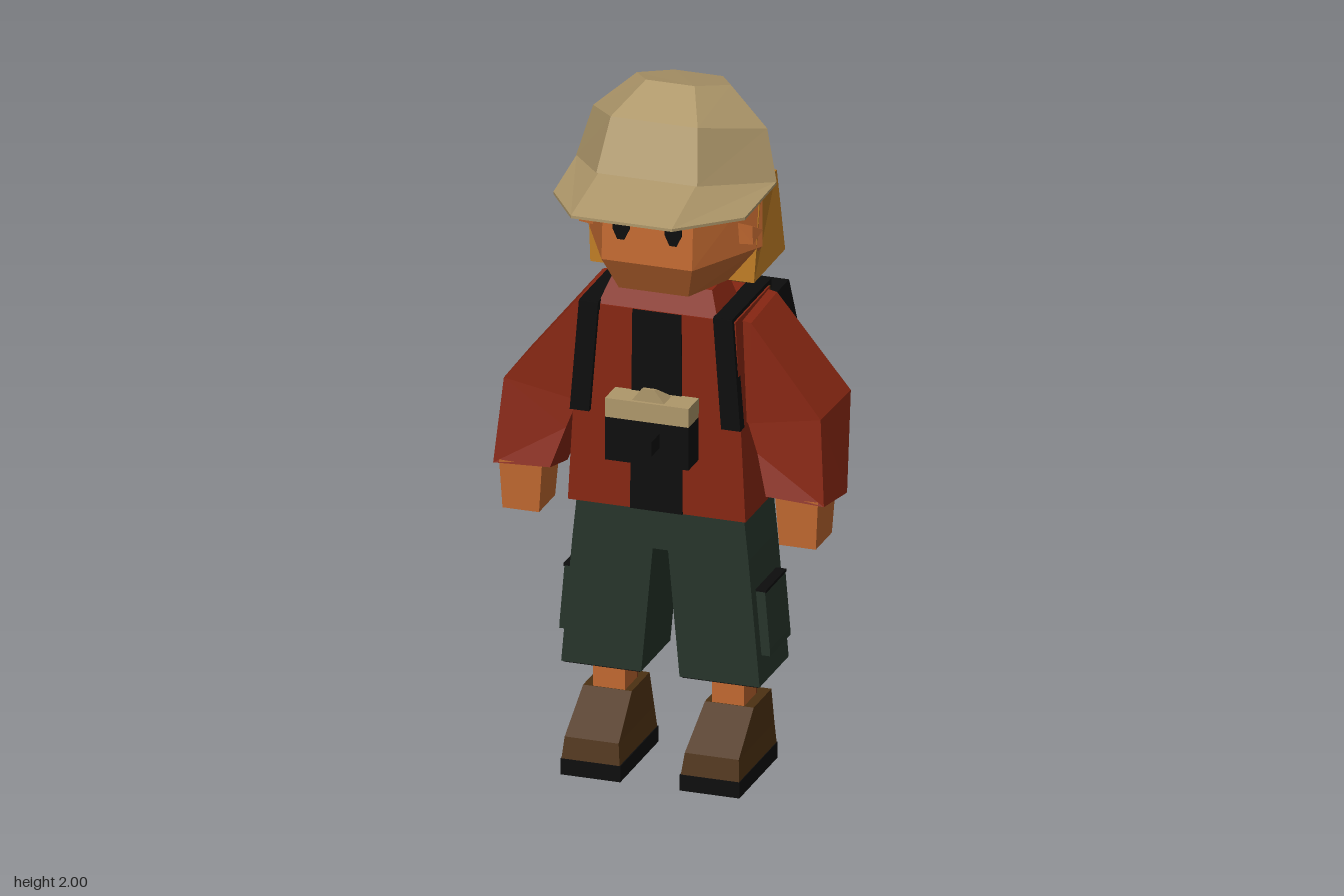
import * as THREE from 'three';

const mat = (name, color) => {
  const m = new THREE.MeshStandardMaterial({ color, flatShading: true });
  m.name = name;
  return m;
};

// Joins matching rings of points into a closed solid, turned outward by its signed volume.
function loft(rings) {
  const tris = [];
  const n = rings[0].length;
  for (let r = 0; r < rings.length - 1; r++) {
    for (let i = 0; i < n; i++) {
      const j = (i + 1) % n;
      const [a, b, c, d] = [rings[r][i], rings[r][j], rings[r + 1][j], rings[r + 1][i]];
      tris.push([a, b, c], [a, c, d]);
    }
  }
  const first = rings[0], last = rings[rings.length - 1];
  for (let i = 1; i < n - 1; i++) {
    tris.push([first[0], first[i + 1], first[i]], [last[0], last[i], last[i + 1]]);
  }
  const v = (p) => new THREE.Vector3(...p);
  let volume = 0;
  for (const [a, b, c] of tris) volume += v(a).dot(v(b).cross(v(c)));
  if (volume < 0) tris.forEach((t) => t.reverse());
  const g = new THREE.BufferGeometry();
  g.setAttribute('position', new THREE.Float32BufferAttribute(tris.flat(2), 3));
  g.computeVertexNormals();
  return g;
}

// Horizontal rectangle ring at height y
const rect = (y, x0, x1, z0, z1) => [[x0, y, z0], [x1, y, z0], [x1, y, z1], [x0, y, z1]];
// Side outline of [z, y] points placed at x
const side = (x, outline) => outline.map(([z, y]) => [x, y, z]);
// Six-sided ring from front, side and back [x, y, z] corners
const hex = (f, s, b) => [f, s, b, [-b[0], b[1], b[2]], [-s[0], s[1], s[2]], [-f[0], f[1], f[2]]];
const flip = (ring, s) => ring.map(([x, y, z]) => [x * s, y, z]);

export function createModel() {
  const model = new THREE.Group();
  const skin = mat('skin', 0xc06830);
  const cream = mat('cream', 0xae976a);
  const hair = mat('hair', 0xbb7a24);
  const red = mat('jacket red', 0x862612);
  const green = mat('trouser green', 0x26342a);
  const brown = mat('boot brown', 0x4c3012);
  const black = mat('black', 0x0d0d0d);

  const add = (name, geometry, material) => {
    const mesh = new THREE.Mesh(geometry, material);
    mesh.name = name;
    model.add(mesh);
    return mesh;
  };
  const box = (name, material, x0, x1, y0, y1, z0, z1) =>
    add(name, loft([rect(y0, x0, x1, z0, z1), rect(y1, x0, x1, z0, z1)]), material);

  // Head, with a chin that narrows
  add('head', loft([
    hex([0.1, 1.44, 0.195], [0.18, 1.44, 0], [0.1, 1.44, -0.12]),
    hex([0.13, 1.54, 0.25], [0.25, 1.54, 0.02], [0.13, 1.54, -0.15]),
    hex([0.13, 1.77, 0.235], [0.25, 1.74, 0.02], [0.12, 1.7, -0.15]),
  ]), skin);
  box('neck', skin, -0.09, 0.09, 1.34, 1.46, -0.03, 0.11);

  // Cap crown, tilted back
  add('capCrown', loft([
    hex([0.145, 1.79, 0.25], [0.288, 1.73, 0.01], [0.12, 1.655, -0.215]),
    hex([0.125, 1.935, 0.19], [0.25, 1.87, -0.02], [0.13, 1.81, -0.245]),
    hex([0.07, 2.0, 0.06], [0.135, 1.97, -0.05], [0.07, 1.94, -0.17]),
  ]), cream);
  const brim = hex([0.145, 1.745, 0.455], [0.275, 1.71, 0.23], [0.287, 1.73, 0.01]);
  brim.splice(3, 0, [0.14, 1.79, 0.245], [-0.14, 1.79, 0.245]);
  // Brim as three folded panels
  const [f, s, b, i] = brim;
  const panels = [[f, [-f[0], f[1], f[2]], [-i[0], i[1], i[2]], i], [f, s, b, i], flip([f, s, b, i], -1)];
  panels.forEach((p) => add('capBrim', loft([p.map(([x, y, z]) => [x, y - 0.008, z]), p]), cream));

  // Hair behind the head and the ponytail
  box('backHair', hair, -0.17, 0.17, 1.47, 1.7, -0.16, -0.04);
  const tail = (w, z0, y0, z1, y1) => [[-w, y0, z0], [w, y0, z0], [w, y1, z1], [-w, y1, z1]];
  add('ponytail', loft([
    tail(0.07, -0.15, 1.69, -0.15, 1.58),
    tail(0.095, -0.19, 1.67, -0.185, 1.555),
    tail(0.11, -0.375, 1.62, -0.3, 1.5),
    tail(0.095, -0.452, 1.435, -0.355, 1.4),
  ]), hair);

  // Jacket with open front, brown back and collar
  add('jacket', loft([rect(0.79, -0.255, 0.255, -0.11, 0.17), rect(1.37, -0.225, 0.225, -0.11, 0.165)]), red);
  add('shirtFront', loft([rect(0.79, -0.075, 0.075, 0.165, 0.175), rect(1.37, -0.07, 0.07, 0.16, 0.17)]), black);
  add('jacketBack', loft([rect(0.79, -0.255, 0.255, -0.116, -0.109), rect(1.37, -0.225, 0.225, -0.116, -0.109)]), brown);
  add('collar', loft([rect(1.36, -0.175, 0.175, -0.01, 0.165), rect(1.44, -0.145, 0.145, 0, 0.13)]), red);

  // Trouser seat joining both legs
  add('trouserSeat', loft([rect(0.665, -0.03, 0.03, -0.095, 0.14), rect(0.79, -0.03, 0.03, -0.095, 0.14)]), green);

  // Paired parts
  for (const m of [1, -1]) {
    const pair = (name, rings, material) => add(name, loft(rings.map((r) => flip(r, m))), material);
    const pairBox = (name, material, x0, x1, y0, y1, z0, z1) =>
      pair(name, [rect(y0, x0, x1, z0, z1), rect(y1, x0, x1, z0, z1)], material);

    // Face details
    const eye = add('eye', new THREE.CylinderGeometry(1, 1, 0.008, 8, 1, false, Math.PI / 8).rotateX(Math.PI / 2), black);
    eye.scale.set(0.026, 0.056, 1);
    eye.position.set(0.075 * m, 1.657, 0.246);
    pair('ear', [
      [[0.2, 1.635, 0.1], [0.2, 1.57, 0.095], [0.23, 1.6, 0.03]],
      [[0.25, 1.63, 0.1], [0.25, 1.575, 0.095], [0.265, 1.605, 0.055]],
    ], skin);
    pair('sideHair', [
      [[0.16, 1.44, 0.045], [0.235, 1.44, 0.045], [0.25, 1.46, -0.165], [0.13, 1.46, -0.165]],
      [[0.18, 1.72, 0.03], [0.25, 1.72, 0.03], [0.235, 1.7, -0.14], [0.13, 1.7, -0.14]],
    ], hair);

    // Sleeve and hand
    pair('sleeve', [
      [[0.2, 1.36, 0.11], [0.2, 1.37, -0.1], [0.22, 1.08, -0.1], [0.22, 1.08, 0.12]],
      [[0.25, 1.35, 0.11], [0.25, 1.36, -0.1], [0.245, 1.06, -0.1], [0.245, 1.06, 0.12]],
      [[0.455, 1.1, 0.125], [0.46, 1.1, -0.105], [0.275, 0.98, -0.105], [0.275, 0.98, 0.13]],
      [[0.475, 0.86, 0.155], [0.483, 0.84, -0.01], [0.32, 0.825, -0.01], [0.31, 0.87, 0.16]],
    ], red);
    pair('hand', [rect(0.73, 0.345, 0.45, 0.02, 0.15), rect(0.87, 0.335, 0.458, 0.01, 0.155)], skin);

    // Pack strap, front length and over the shoulder
    pair('packStrap', [rect(1.06, 0.19, 0.245, 0.15, 0.184), rect(1.38, 0.165, 0.22, 0.15, 0.18)], black);
    pairBox('shoulderStrap', black, 0.165, 0.22, 1.355, 1.382, -0.14, 0.175);

    // Trouser leg, hem and pocket
    pair('trouserLeg', [
      rect(0.3, 0.055, 0.285, -0.095, 0.14),
      rect(0.665, 0.022, 0.253, -0.095, 0.14),
      rect(0.79, 0.02, 0.24, -0.095, 0.14),
    ], green);
    pairBox('trouserHem', black, 0.06, 0.28, 0.296, 0.302, -0.09, 0.135);
    pair('pocket', [
      rect(0.38, 0.26, 0.303, -0.06, 0.105),
      rect(0.4, 0.26, 0.302, -0.06, 0.105),
      rect(0.565, 0.25, 0.288, -0.06, 0.105),
    ], green);
    pairBox('pocketFlap', black, 0.25, 0.291, 0.563, 0.571, -0.06, 0.105);

    // Ankle with a red back, boot and sole
    pairBox('ankle', skin, 0.125, 0.217, 0.19, 0.32, -0.022, 0.073);
    pairBox('sockBack', red, 0.125, 0.217, 0.19, 0.3, -0.027, -0.021);
    pair('boot', [
      rect(0.05, 0.088, 0.255, -0.082, 0.222),
      rect(0.11, 0.095, 0.25, -0.078, 0.21),
      rect(0.21, 0.105, 0.245, -0.068, 0.075),
    ], brown);
    pairBox('sole', black, 0.085, 0.257, 0.004, 0.05, -0.085, 0.225);
    pairBox('soleInset', brown, 0.115, 0.227, 0, 0.005, -0.055, 0.195);

    // Zip pull on the pack side
    pair('zipPull', [
      side(0.215, [[-0.255, 0.985], [-0.3, 0.985], [-0.278, 1.03]]),
      side(0.229, [[-0.26, 0.985], [-0.295, 0.985], [-0.278, 1.025]]),
    ], hair);
  }

  // Backpack
  const pack = [[-0.112, 1.325], [-0.275, 1.325], [-0.395, 1.07], [-0.32, 0.82], [-0.112, 0.82]];
  add('backpack', loft([side(-0.222, pack), side(0.222, pack)]), black);

  // Camera on the chest
  box('cameraBody', black, -0.12, 0.12, 0.955, 1.08, 0.165, 0.25);
  box('cameraTop', cream, -0.12, 0.12, 1.08, 1.135, 0.165, 0.25);
  add('viewfinder', loft([
    rect(1.13, -0.05, 0.05, 0.17, 0.24),
    [[-0.018, 1.17, 0.225], [0.018, 1.17, 0.225], [0.018, 1.172, 0.24], [-0.018, 1.172, 0.24]],
  ]), cream);
  const lens = add('cameraLens', new THREE.CylinderGeometry(0.042, 0.042, 0.08, 6).rotateX(Math.PI / 2), black);
  lens.position.set(0, 1.03, 0.275);

  return model;
}
